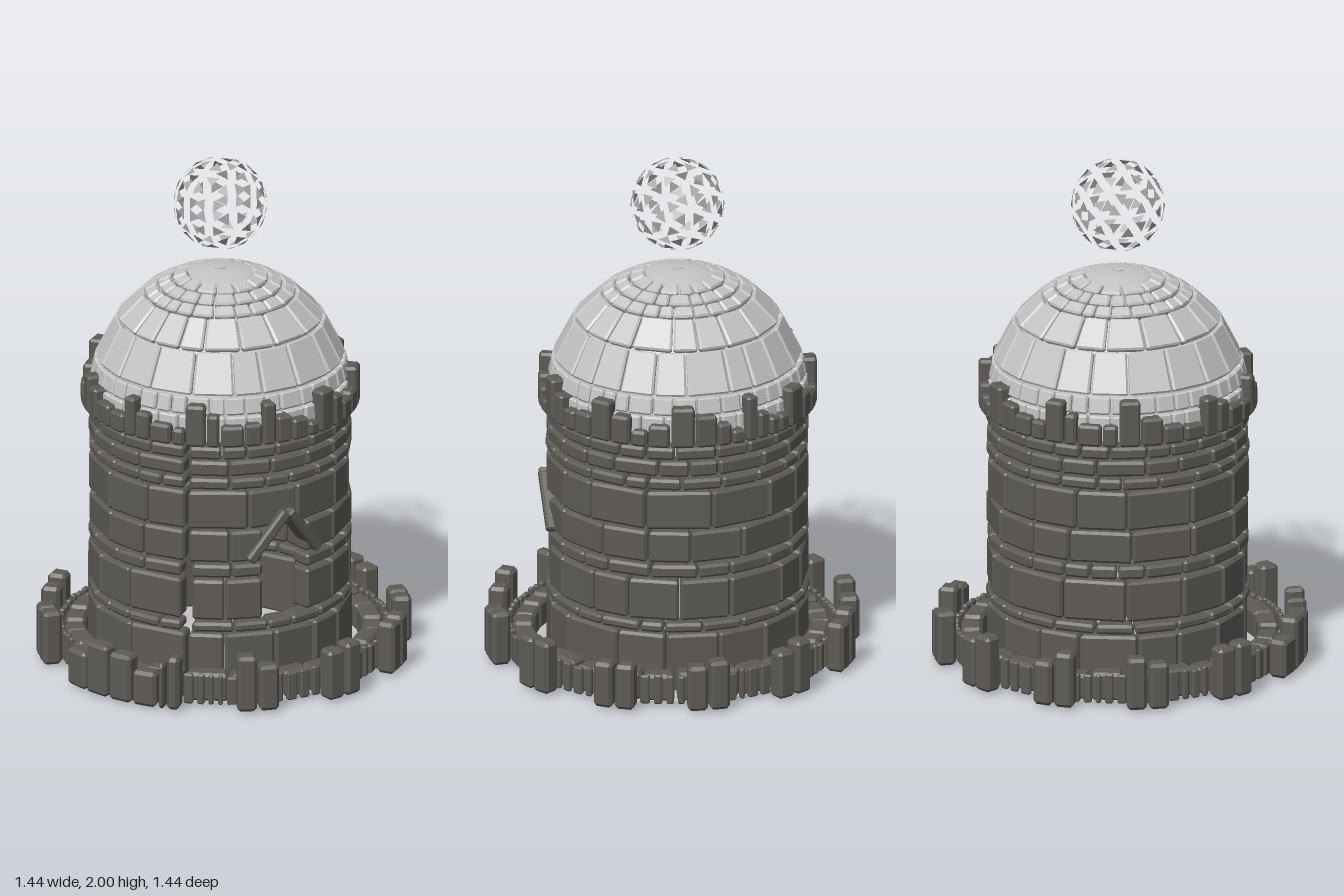
import * as THREE from 'three';
import { mergeGeometries } from 'three/addons/utils/BufferGeometryUtils.js';
import { ConvexGeometry } from 'three/addons/geometries/ConvexGeometry.js';

const D = Math.PI / 180;
const stone = new THREE.MeshStandardMaterial({ color: 0x5e5b56 });
stone.name = 'dark stone';
const silver = new THREE.MeshStandardMaterial({ color: 0xc4c4c4 });
silver.name = 'pale silver';
const plate = new THREE.MeshStandardMaterial({ color: 0xaaaaaa, side: THREE.DoubleSide });
plate.name = 'grey plate';

let seed = 11;
const rand = () => (seed = (seed * 16807) % 2147483647) / 2147483647;

// Angle 0 faces the front, 90 faces +x
const polar = (a, y, r) => new THREE.Vector3(Math.sin(a * D) * r, y, Math.cos(a * D) * r);
const DOME_Y = 1.06;
const dome = (a, e, r) => polar(a, DOME_Y + Math.sin(e * D) * r, Math.cos(e * D) * r);

// Chamfered block between two limits on each of three axes, bent by map
function block(map, lim, bevel) {
  const pts = [];
  for (let k = 0; k < 8; k++) {
    const side = [k & 1, (k >> 1) & 1, (k >> 2) & 1];
    for (let flat = 0; flat < 3; flat++) {
      const c = side.map((s, i) => {
        const b = i === flat ? 0 : Math.min(bevel[i], (lim[i][1] - lim[i][0]) * 0.3);
        return s ? lim[i][1] - b : lim[i][0] + b;
      });
      pts.push(map(...c));
    }
  }
  return new ConvexGeometry(pts);
}

const brick = (a0, a1, y0, y1, r0, r1, b = 0.01) =>
  block(polar, [[a0, a1], [y0, y1], [r0, r1]], [b / r1 / D, b, b]);

// Splits an arc into n uneven spans and calls make for each
function spans(from, to, n, gap, make) {
  const w = Array.from({ length: n }, () => 0.7 + 0.6 * rand());
  const total = w.reduce((s, v) => s + v, 0);
  let a = from;
  w.forEach((v, i) => {
    const next = a + (v / total) * (to - from);
    make(a + gap / 2, next - gap / 2, i);
    a = next;
  });
}

function add(parent, name, geos, mat) {
  const mesh = new THREE.Mesh(Array.isArray(geos) ? mergeGeometries(geos) : geos, mat);
  mesh.name = name;
  parent.add(mesh);
  return mesh;
}

function buildBase() {
  const g = new THREE.Group();
  g.name = 'base';
  add(g, 'floor', new THREE.CylinderGeometry(0.61, 0.61, 0.012, 64), silver).position.y = 0.008;

  // Dark paving patches flush with the underside
  const patches = [];
  for (const [r0, r1, n] of [[0.14, 0.2, 9], [0.29, 0.43, 9], [0.5, 0.54, 16]]) {
    spans(0, 360, n, 5, (a, b, i) => {
      if (i % 3 !== 1) patches.push(brick(a, b, 0, 0.008, r0, r1, 0.001));
    });
  }
  add(g, 'pavingPatches', patches, stone);

  const ring = [], chips = [], posts = [];
  spans(0, 360, 28, 1, (a, b) => ring.push(brick(a, b, 0.01, 0.11 + 0.02 * rand(), 0.53, 0.61, 0.012)));
  spans(0, 360, 84, 1.4, (a, b) => chips.push(brick(a, b, 0.01, 0.12 + 0.015 * rand(), 0.615, 0.637, 0.006)));
  add(g, 'baseRing', ring, stone);
  add(g, 'baseChips', chips, stone);

  // Paired posts every 30 degrees, with a solid run at the front
  const post = (mid, w, h) => posts.push(brick(mid - w / 2, mid + w / 2, 0.01, h, 0.648, 0.722, 0.013));
  for (let k = 1; k < 12; k++) {
    if (k === 11) continue;
    post(k * 30 - 0.8, 6.2, 0.18 + 0.06 * rand());
    post(k * 30 - 7.8, 6.2, 0.18 + 0.06 * rand());
  }
  [[-1, 4, 0.22], [-4.8, 1.6, 0.19], [-10.5, 8, 0.15], [-19.2, 8, 0.2], [-28.3, 8.5, 0.215], [-37.6, 8.5, 0.16]]
    .forEach((p) => post(...p));
  add(g, 'basePosts', posts, stone);
  return g;
}

function buildTower() {
  const g = new THREE.Group();
  g.name = 'tower';
  // Courses: bottom, top, brick count, openings as [centre, half width]
  const slit = [0, 2.2], win = [45, 11];
  const courses = [
    [0.01, 0.24, 16, [[0, 0.4]]],
    [0.25, 0.287, 22, [slit]],
    [0.3, 0.46, 15, [slit, win]],
    [0.473, 0.523, 22, [slit, win]],
    [0.536, 0.66, 15, [[0, 0.8], win]],
    [0.67, 0.822, 15, [[0, 0.4]]],
    [0.833, 0.876, 24, [[0, 0.8]]],
    [0.888, 0.947, 20, [[0, 1]]],
    [0.957, 1.005, 24, [[0, 0.8]]],
  ];
  for (const [y0, y1, n, open] of courses) {
    const geos = [];
    open.forEach(([c, h], i) => {
      const next = open[i + 1] || [open[0][0] + 360, open[0][1]];
      const from = c + h, to = next[0] - next[1];
      spans(from, to, Math.max(2, Math.round((n * (to - from)) / 360)), 0.5, (a, b) => {
        // Wide bricks reach a little further so the flat faces average the same radius
        const r = 0.503 + 0.003 * rand();
        geos.push(brick(a, b, y0, y1, 0.42, r, 0.01));
      });
    });
    add(g, 'brickCourse', geos, stone);
  }

  // Pointed hood over the window
  const hood = new THREE.Group();
  hood.name = 'windowHood';
  for (const s of [-1, 1]) {
    const geo = block((x, y, z) => new THREE.Vector3(x, y, z),
      [[-0.12, 0.12], [-0.02, 0.02], [-0.05, 0.035]], [0.008, 0.008, 0.008]);
    const leg = add(hood, 'hoodStone', geo, stone);
    leg.position.set(s * 0.075, 0.635, 0.485);
    leg.rotation.set(0, s * 0.2, -s * 0.9, 'YXZ');
  }
  hood.rotation.y = 45 * D;
  g.add(hood);

  // Parapet: low uneven blocks with a taller one at intervals
  const parapet = [];
  spans(0, 360, 44, 0.7, (a, b, i) => {
    const top = i % 4 === 0 ? 1.17 + 0.03 * rand() : i % 4 === 1 ? 1.12 + 0.03 * rand() : 1.07 + 0.04 * rand();
    parapet.push(brick(a, b, 1.018, top, 0.475, 0.535, 0.01));
  });
  add(g, 'parapet', parapet, stone);

  add(g, 'centralColumn', new THREE.CylinderGeometry(0.02, 0.02, 1.555, 16), silver).position.y = 0.785;
  return g;
}

function buildDome() {
  const g = new THREE.Group();
  g.name = 'dome';
  // Rings: lower and upper elevation, panel count
  const rings = [[-4, 8, 40], [8.8, 16.6, 40], [17.4, 37, 20], [37.8, 53.5, 18],
    [54.3, 60.5, 24], [61.2, 67.5, 20], [68.2, 75, 14]];
  for (const [e0, e1, n] of rings) {
    const geos = [];
    const gap = 0.6 / Math.cos(e1 * D);
    spans(90, 450, n, gap, (a, b) => {
      const bevel = 0.007 / 0.5 / D;
      geos.push(block(dome, [[a, b], [e0, e1], [0.465, 0.502]], [bevel / Math.cos(e1 * D), bevel, 0.007]));
    });
    add(g, 'domePanels', geos, silver);
  }
  add(g, 'domeLiner', new THREE.SphereGeometry(0.472, 40, 16, 0, Math.PI * 2, 0, Math.PI / 2), silver).position.y = DOME_Y;
  const cap = add(g, 'domeCap', new THREE.SphereGeometry(0.5, 24, 3, 0, Math.PI * 2, 0, 14.5 * D), silver);
  cap.position.y = DOME_Y;
  return g;
}

// Floating ball of separate small triangles
function buildBall() {
  const geo = new THREE.IcosahedronGeometry(0.178, 1);
  const p = geo.attributes.position;
  const v = [0, 1, 2].map(() => new THREE.Vector3()), mid = new THREE.Vector3();
  for (let i = 0; i < p.count; i += 3) {
    v.forEach((q, k) => q.fromBufferAttribute(p, i + k));
    mid.copy(v[0]).add(v[1]).add(v[2]).divideScalar(3);
    const out = mid.clone().setLength(0.178 - mid.length());
    v.forEach((q, k) => {
      q.lerp(mid, 0.52).add(out);
      p.setXYZ(i + k, q.x, q.y, q.z);
    });
  }
  geo.computeVertexNormals();
  const mesh = new THREE.Mesh(geo, plate);
  mesh.name = 'floatingBall';
  mesh.position.y = 1.822;
  return mesh;
}

export function createModel() {
  const model = new THREE.Group();
  model.name = 'domedTower';
  const body = new THREE.Group();
  body.name = 'towerBody';
  body.add(buildTower(), buildDome(), buildBall());
  body.position.set(-0.018, 0, -0.012);
  model.add(buildBase(), body);
  return model;
}
